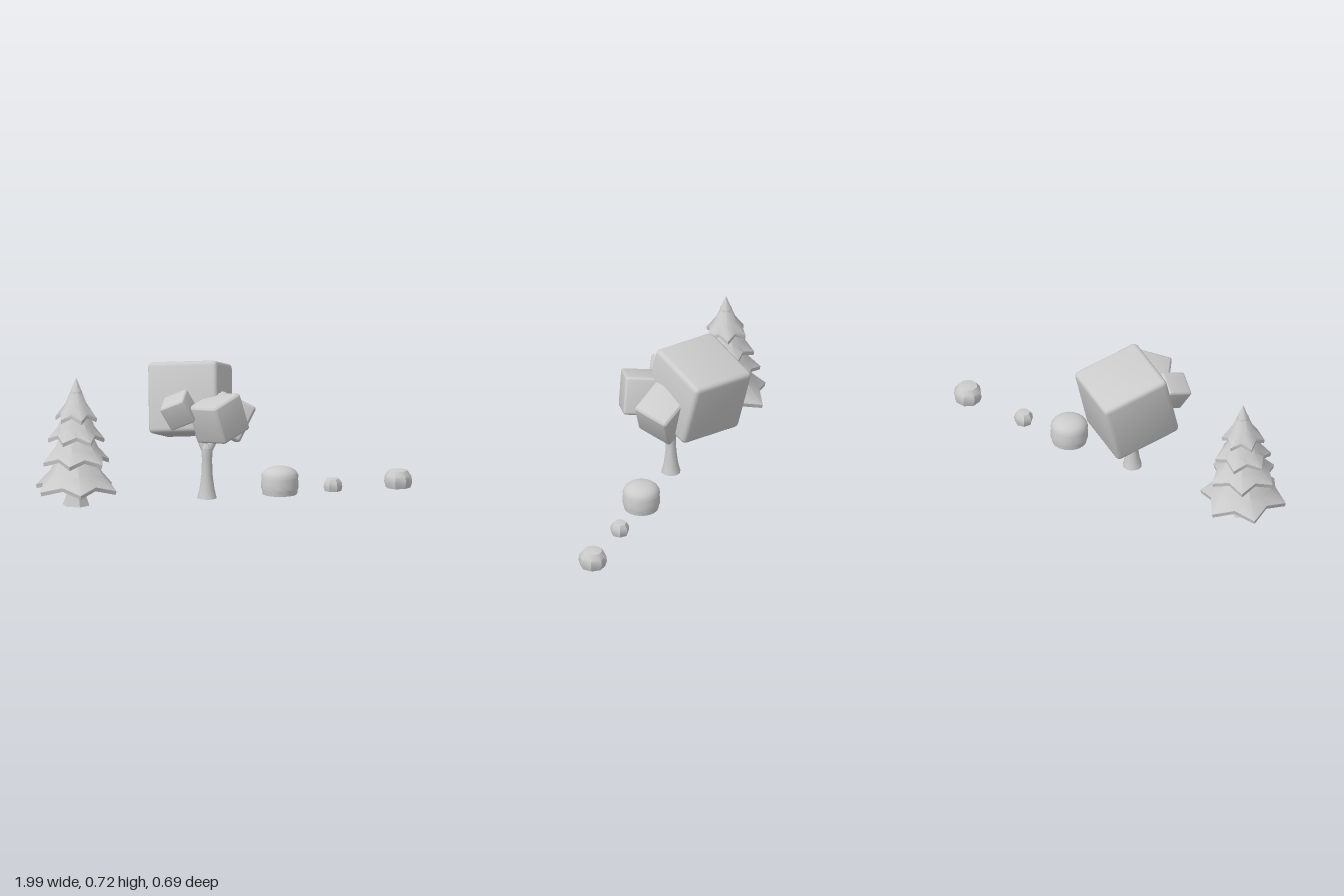
import * as THREE from 'three';
import { toCreasedNormals } from 'three/addons/utils/BufferGeometryUtils.js';
import { RoundedBoxGeometry } from 'three/addons/geometries/RoundedBoxGeometry.js';

const material = new THREE.MeshStandardMaterial({ color: 0xcccccc, side: THREE.DoubleSide });
const V = (x, y, z) => new THREE.Vector3(x, y, z);

function addMesh(parent, name, geometry, crease = 0.7) {
  const mesh = new THREE.Mesh(toCreasedNormals(geometry, crease), material);
  mesh.name = name;
  parent.add(mesh);
  return mesh;
}

// Skin over closed rings of equal point count, listed from top to bottom
function loft(rings) {
  const n = rings[0].length, index = [];
  for (let i = 0; i < rings.length - 1; i++) {
    for (let j = 0; j < n; j++) {
      const a = i * n + j, b = i * n + (j + 1) % n;
      index.push(a, b, a + n, b, b + n, a + n);
    }
  }
  const geometry = new THREE.BufferGeometry().setFromPoints(rings.flat());
  geometry.setIndex(index);
  return geometry;
}

const lathe = (points, sides) =>
  new THREE.LatheGeometry(points.map(([r, y]) => new THREE.Vector2(r, y)), sides);

// Six-pointed drooping skirt: tip height, rim height, radius, twist
function tierGeometry(top, rim, radius, topRadius, twist) {
  const ring = (rTip, yTip, rNotch, yNotch) => Array.from({ length: 12 }, (_, k) => {
    const a = twist + k * Math.PI / 6, tip = k % 2 === 0;
    const r = tip ? rTip : rNotch;
    return V(r * Math.cos(a), tip ? yTip : yNotch, r * Math.sin(a));
  });
  const h = top - rim, thick = 0.02, notch = radius * 0.76;
  const mid = topRadius + (radius - topRadius) * 0.5;
  return loft([
    ring(topRadius, top, topRadius, top),
    ring(mid, rim + h * 0.42, mid * 0.9, rim + h * 0.44),
    ring(radius, rim + thick, notch, rim + thick + 0.028),
    ring(radius * 0.98, rim, notch * 0.98, rim + 0.028),
    ring(mid * 0.85, rim + h * 0.33, mid * 0.78, rim + h * 0.35),
    ring(0.03, rim + h * 0.7, 0.03, rim + h * 0.7),
  ]);
}

function createPine() {
  const pine = new THREE.Group();
  pine.name = 'pineTree';
  addMesh(pine, 'pineTrunk', lathe([[0.07, 0], [0.052, 0.05], [0.043, 0.1], [0.035, 0.3], [0.03, 0.45]], 6));
  const tiers = [
    [0.30, 0.07, 0.225, 0.07], [0.41, 0.21, 0.178, 0.06],
    [0.52, 0.325, 0.145, 0.045], [0.66, 0.435, 0.11, 0.001],
  ];
  tiers.forEach(([top, rim, radius, topRadius], i) =>
    addMesh(pine, 'pineTier' + (i + 1), tierGeometry(top, rim, radius, topRadius, -0.35 + i * 0.3)));
  pine.position.set(-0.785, 0, 0.044);
  return pine;
}

// Rounded block oriented by its sideways and upward axes
function addBlock(parent, name, size, center, side, up) {
  const x = side.clone().normalize();
  const z = x.clone().cross(up).normalize();
  const y = z.clone().cross(x);
  const mesh = addMesh(parent, name, new RoundedBoxGeometry(size, size, size, 2, size * 0.07), 0.9);
  mesh.quaternion.setFromRotationMatrix(new THREE.Matrix4().makeBasis(x, y, z));
  mesh.position.copy(center);
}

function createBlockTree() {
  const tree = new THREE.Group();
  tree.name = 'blockTree';

  // Flared trunk
  const trunk = addMesh(tree, 'trunk', lathe(
    [[0.05, 0], [0.038, 0.05], [0.029, 0.12], [0.026, 0.2], [0.03, 0.26], [0.02, 0.285]], 10));
  trunk.position.set(-0.093, 0, 0.05);

  // Forked branches
  const branches = [
    [V(-0.09, 0.235, 0.05), V(-0.07, 0.28, 0.055), V(-0.02, 0.36, 0.06)],
    [V(-0.095, 0.235, 0.05), V(-0.115, 0.29, 0.035), V(-0.14, 0.38, 0)],
  ];
  branches.forEach((points, i) => addMesh(tree, 'branch' + (i + 1),
    new THREE.TubeGeometry(new THREE.CatmullRomCurve3(points), 6, 0.021, 8), 1));

  // Foliage blocks
  addBlock(tree, 'mainFoliage', 0.365, V(-0.145, 0.495, -0.075), V(0.878, 0.07, 0.474), V(0.055, 0.963, -0.244));
  addBlock(tree, 'frontFoliage', 0.2, V(-0.075, 0.443, 0.205), V(0.82, 0.28, -0.5), V(-0.285, 0.952, 0.05));
  addBlock(tree, 'leftFoliage', 0.2, V(0.028, 0.414, 0.04), V(-0.2, 0.2, 0.96), V(0.47, 0.88, -0.05));
  addBlock(tree, 'smallFoliage', 0.135, V(-0.268, 0.485, 0.145), V(0.75, 0.4, 0.52), V(-0.45, 0.87, 0.1));
  return tree;
}

// Dome with an overhanging cap, hollow beneath, on a short stem
function createDomeBush() {
  const bush = new THREE.Group();
  bush.name = 'domeBush';
  const cap = [[0.084, 0.088], [0.096, 0.088]];
  for (let i = 1; i <= 6; i++) {
    const a = i / 6 * Math.PI / 2;
    cap.push([0.096 * Math.pow(Math.cos(a), 0.8), 0.088 - 0.02 + 0.074 * Math.sin(a) + 0.02 * (1 - Math.sin(a))]);
  }
  cap[cap.length - 1][0] = 0;
  addMesh(bush, 'bushCap', lathe(cap, 20));
  addMesh(bush, 'bushBody', lathe([[0.088, 0], [0.092, 0.03], [0.096, 0.03], [0.096, 0.06], [0.09, 0.09]], 20));
  addMesh(bush, 'bushStem', lathe([[0.03, 0.03], [0.026, 0.06], [0.026, 0.12]], 10));
  bush.position.set(0.295, 0, 0.045);
  return bush;
}

// Open-bottomed faceted shrub
function addShrub(parent, name, radius, height, sides, x, z, turn) {
  const profile = [[0.88, 0], [1, 0.3], [0.95, 0.62], [0.68, 0.9], [0, 1]];
  const shrub = addMesh(parent, name, lathe(profile.map(([r, y]) => [r * radius, y * height]), sides), 0.75);
  shrub.position.set(x, 0, z);
  shrub.rotation.y = turn;
}

export function createModel() {
  const model = new THREE.Group();
  model.name = 'trees';
  model.add(createPine(), createBlockTree(), createDomeBush());
  addShrub(model, 'smallShrub', 0.049, 0.07, 7, 0.577, 0.042, 0.2);
  addShrub(model, 'largeShrub', 0.073, 0.097, 8, 0.923, 0.042, 0.3);
  return model;
}
